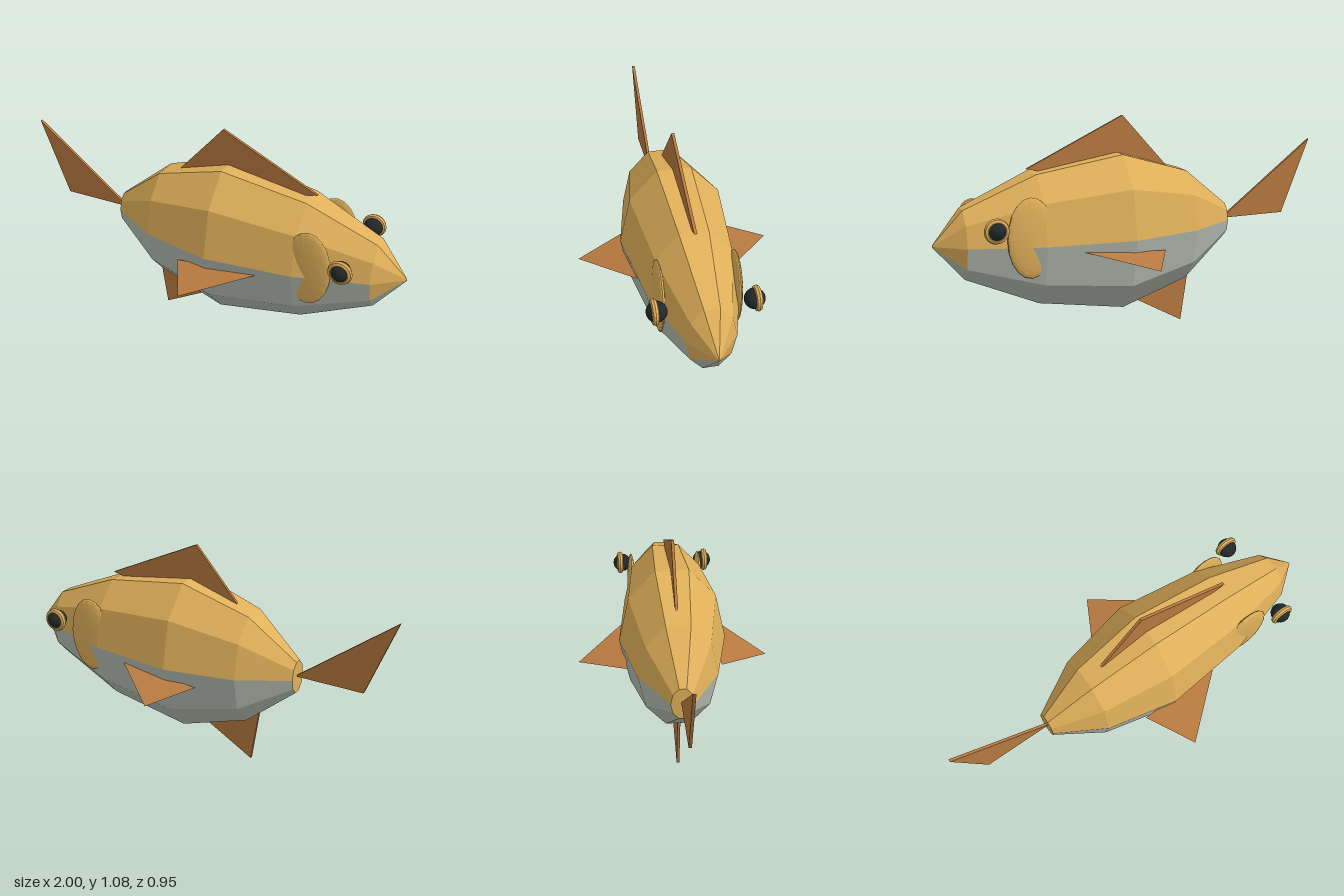
import * as THREE from 'three';

const flat = (color) => new THREE.MeshStandardMaterial({ color, flatShading: true, side: THREE.DoubleSide });

export function createModel() {
  const fish = new THREE.Group();
  fish.name = 'fish';
  const gold = flat(0xe0b05a), silver = flat(0xb6bdb2), copper = flat(0xb87a40), black = flat(0x22282a);

  const add = (name, geometry, material, x = 0, y = 0, z = 0) => {
    const mesh = new THREE.Mesh(geometry, material);
    mesh.name = name;
    mesh.position.set(x, y, z);
    fish.add(mesh);
    return mesh;
  };

  // Body: ten-sided oval rings along x, [x, vertical radius]
  const rings = [[-0.51, 0.085], [-0.27, 0.29], [0.08, 0.403], [0.51, 0.331], [0.86, 0.175], [1, 0.005]];
  const sides = 10, midY = 0.518;
  const ringPoint = ([x, r], i) => {
    const a = (i / sides) * Math.PI * 2;
    return [x, midY + r * Math.sin(a), 0.665 * r * Math.cos(a)];
  };
  const upper = [], lower = [];
  const last = rings.length - 1;
  for (let j = 0; j < last; j++) {
    for (let i = 0; i < sides; i++) {
      const a = ringPoint(rings[j], i), b = ringPoint(rings[j + 1], i);
      const c = ringPoint(rings[j + 1], i + 1), d = ringPoint(rings[j], i + 1);
      // the snout keeps the back colour on its lower cheeks
      const cheek = j === last - 1 && (i === 5 || i === 9);
      (i < 5 || cheek ? upper : lower).push(...a, ...b, ...c, ...a, ...c, ...d);
    }
  }
  // End caps at the tail root and the snout tip
  for (let i = 0; i < sides; i++) {
    upper.push(rings[0][0], midY, 0, ...ringPoint(rings[0], i), ...ringPoint(rings[0], i + 1));
    upper.push(rings[last][0], midY, 0, ...ringPoint(rings[last], i + 1), ...ringPoint(rings[last], i));
  }
  const facets = (points) => {
    const g = new THREE.BufferGeometry();
    g.setAttribute('position', new THREE.Float32BufferAttribute(points, 3));
    g.computeVertexNormals();
    return g;
  };
  add('back', facets(upper), gold);
  add('belly', facets(lower), silver);

  // Upright fins: thin triangular plates
  const plate = (points) => {
    const shape = new THREE.Shape(points.map(([x, y]) => new THREE.Vector2(x, y)));
    return new THREE.ExtrudeGeometry(shape, { depth: 0.014, bevelEnabled: false }).translate(0, 0, -0.007);
  };
  add('tailFin', plate([[-1, 0.9], [-0.85, 0.52], [-0.5, 0.52]]), copper);
  add('dorsalFin', plate([[-0.19, 0.81], [0.45, 0.83], [0.54, 0.85], [0.05, 1.08]]), copper);
  add('bellyFin', plate([[-0.27, 0], [0.05, 0.18], [-0.315, 0.3]]), copper);

  // Paired parts
  for (const [side, s] of [['right', 1], ['left', -1]]) {
    // Side fin: a wedge thinning from its root to the tip
    const tip = [0.05, 0.42, 0.475 * s];
    const front = [0.34, 0.48, 0.228 * s];
    const rearTop = [-0.08, 0.448, 0.235 * s];
    const rearLow = [0.05, 0.426, 0.24 * s];
    const faces = [[tip, front, rearTop], [tip, rearTop, rearLow], [tip, rearLow, front], [front, rearLow, rearTop]];
    const wedge = faces.flatMap(([a, b, c]) => (s > 0 ? [...a, ...b, ...c] : [...a, ...c, ...b]));
    add(side + 'SideFin', facets(wedge), copper);

    // Gill cover: flattened oval half sunk into the body
    const gill = new THREE.SphereGeometry(1, 20, 14).rotateX(Math.PI / 2).scale(0.115, 0.193, 0.023);
    add(side + 'GillCover', gill, gold, 0.575, 0.558, 0.178 * s);

    // Eye and its surrounding ring
    add(side + 'Eye', new THREE.SphereGeometry(0.048, 14, 10).rotateX(Math.PI / 2), black, 0.752, 0.62, 0.22 * s);
    add(side + 'EyeRing', new THREE.TorusGeometry(0.044, 0.016, 8, 20), gold, 0.752, 0.62, 0.231 * s);
  }
  return fish;
}
